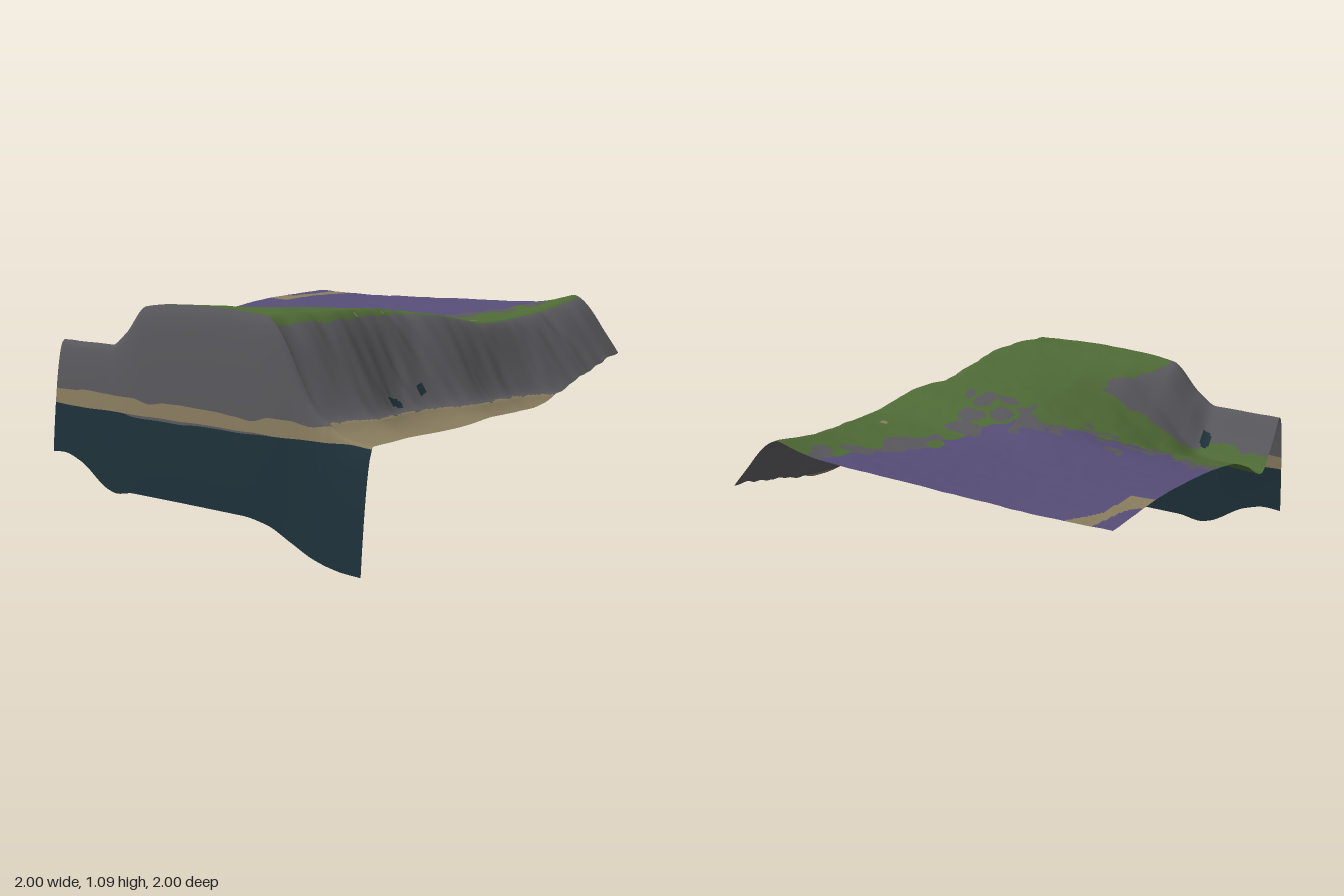
import * as THREE from 'three';

const mat = (name, color) => {
  const m = new THREE.MeshStandardMaterial({ color, side: THREE.DoubleSide });
  m.name = name;
  return m;
};

// Smooth, non-overshooting curve through (xs, ys)
function curve(xs, ys, x) {
  const n = xs.length;
  if (x <= xs[0]) return ys[0];
  if (x >= xs[n - 1]) return ys[n - 1];
  let i = 0;
  while (x > xs[i + 1]) i++;
  const slope = k => (ys[k + 1] - ys[k]) / (xs[k + 1] - xs[k]);
  const tangent = k => {
    if (k === 0) return slope(0);
    if (k === n - 1) return slope(n - 2);
    const a = slope(k - 1), b = slope(k);
    return a * b <= 0 ? 0 : 2 * a * b / (a + b);
  };
  const w = xs[i + 1] - xs[i], t = (x - xs[i]) / w, t2 = t * t, t3 = t2 * t;
  return (2 * t3 - 3 * t2 + 1) * ys[i] + (t3 - 2 * t2 + t) * w * tangent(i)
    + (3 * t2 - 2 * t3) * ys[i + 1] + (t3 - t2) * w * tangent(i + 1);
}

// Repeatable value noise in -1..1
function noise(x, z, seed) {
  const hash = (a, b) => {
    const s = Math.sin(a * 127.1 + b * 311.7 + seed * 74.7) * 43758.5453;
    return (s - Math.floor(s)) * 2 - 1;
  };
  const i = Math.floor(x), j = Math.floor(z);
  const ease = t => t * t * (3 - 2 * t);
  const u = ease(x - i), v = ease(z - j), mix = THREE.MathUtils.lerp;
  return mix(mix(hash(i, j), hash(i + 1, j), u), mix(hash(i, j + 1), hash(i + 1, j + 1), u), v);
}

// Heights of the land before the side cliff is cut away
const landX = [-1, -0.65, -0.55, -0.4, -0.2, 0, 0.3, 0.5, 0.74];
const landZ = [-1, -0.6, -0.3, 0, 0.3, 0.5, 0.7, 0.8, 0.9];
const landY = [
  [0.974, 0.97, 0.97, 0.975, 0.98, 0.988, 0.995, 1.003, 1.055],
  [0.96, 0.947, 0.945, 0.94, 0.94, 0.945, 0.955, 0.965, 0.988],
  [0.93, 0.92, 0.92, 0.92, 0.92, 0.93, 0.945, 0.958, 0.972],
  [0.885, 0.887, 0.89, 0.9, 0.93, 0.963, 1.0, 1.02, 1.03],
  [0.82, 0.81, 0.815, 0.85, 0.92, 0.993, 1.05, 1.065, 1.05],
  [0.735, 0.73, 0.75, 0.83, 0.94, 1.027, 1.073, 1.075, 1.05],
  [0.633, 0.665, 0.74, 0.885, 1.025, 1.067, 1.085, 1.075, 1.0],
  [0.72, 0.75, 0.85, 1.0, 1.065, 1.083, 1.088, 1.07, 1.0],
  [0.86, 0.86, 0.92, 1.063, 1.085, 1.09, 1.08, 1.06, 1.0],
];
const land = (x, z) => curve(landZ, landY.map(row => curve(landX, row, x)), z);

// Top and foot of the side cliff, as x along z
const topZ = [-1, -0.6, -0.3, 0, 0.22, 0.6, 0.9];
const topX = [0.73, 0.7, 0.68, 0.59, 0.47, 0.46, 0.36];
const footZ = [-1, -0.6, -0.45, -0.35, -0.19, 0.05, 0.3, 0.45, 0.67, 0.8, 0.91];
const footX = [1.18, 1.09, 1.0, 0.945, 0.912, 0.92, 0.83, 0.805, 0.835, 0.79, 0.75];
const cliffTop = z => curve(topZ, topX, z) + 0.01 * noise(z * 14, 3, 1);
const cliffFoot = z => curve(footZ, footX, z) + 0.008 * noise(z * 11, 7, 2);

function height(x, z) {
  const top = cliffTop(z), foot = cliffFoot(z);
  if (x <= top) return land(x, z) + 0.0015 * noise(x * 18, z * 18, 3);
  if (x >= foot) return 0.555 + 0.075 * Math.exp((foot - x) / 0.08);
  const t = (x - top) / (foot - top);
  const crag = 0.016 * noise(x * 9 + z * 6, z * 20, 4);
  return THREE.MathUtils.lerp(land(top, z), 0.63, t * t * (3 - 2 * t)) + Math.sin(Math.PI * t) * crag;
}

// Surface over a grid; colourOf picks a material slot for each cell
function sheet(name, nu, nv, point, materials, colourOf = () => 0) {
  const pos = [], faces = materials.map(() => []);
  for (let j = 0; j <= nv; j++)
    for (let i = 0; i <= nu; i++) pos.push(...point(i / nu, j / nv));
  for (let j = 0; j < nv; j++)
    for (let i = 0; i < nu; i++) {
      const a = j * (nu + 1) + i, c = a + 1, b = a + nu + 1, d = b + 1;
      const [x, , z] = point((i + 0.5) / nu, (j + 0.5) / nv);
      faces[colourOf(x, z)].push(a, b, c, c, b, d);
    }
  const g = new THREE.BufferGeometry();
  g.setAttribute('position', new THREE.Float32BufferAttribute(pos, 3));
  g.setIndex(faces.flat());
  let start = 0;
  faces.forEach((f, k) => { g.addGroup(start, f.length, k); start += f.length; });
  g.computeVertexNormals();
  const mesh = new THREE.Mesh(g, materials);
  mesh.name = name;
  return mesh;
}

const [GRASS, HEATH, ROCK, SAND, WATER] = [0, 1, 2, 3, 4];

// Small patches: x, z, radius in x, radius in z, colour
const patches = [
  [-0.655, 0.775, 0.03, 0.032, WATER], [0.748, 0.455, 0.023, 0.047, WATER], [0.745, 0.27, 0.017, 0.024, WATER],
  [0.575, -0.35, 0.02, 0.017, SAND], [0.51, 0.27, 0.006, 0.014, SAND], [0.51, 0.46, 0.006, 0.014, SAND],
  [-0.5, 0.04, 0.055, 0.045, ROCK], [-0.54, -0.01, 0.03, 0.035, ROCK], [-0.66, 0.41, 0.03, 0.03, ROCK],
  [0.1, 0.0, 0.07, 0.06, ROCK], [0.23, -0.08, 0.08, 0.05, ROCK], [0.24, 0.08, 0.05, 0.08, ROCK],
  [0.33, 0.08, 0.025, 0.05, ROCK], [0.14, 0.13, 0.08, 0.03, ROCK], [0.22, -0.2, 0.08, 0.06, ROCK],
  [0.57, -0.88, 0.06, 0.06, ROCK], [0.5, -0.74, 0.06, 0.04, ROCK], [0.38, -0.52, 0.06, 0.07, ROCK],
  [0.22, -0.44, 0.04, 0.05, GRASS],
];
const heathX = [-1, -0.8, -0.6, -0.4, -0.2, 0, 0.12, 0.2, 0.31, 0.42, 0.48, 0.52];
const heathZ = [0.08, 0.13, 0.26, 0.2, 0.1, -0.02, -0.16, -0.36, -0.55, -0.72, -0.9, -1.1];

function groundColour(x, z) {
  const rough = noise(x * 22, z * 22, 5);
  for (const [px, pz, rx, rz, colour] of patches)
    if (((x - px) / rx) ** 2 + ((z - pz) / rz) ** 2 < 1 + 0.5 * rough) return colour;
  // Side cliff below its grassy lip, and the beach at its foot
  const top = cliffTop(z), foot = cliffFoot(z);
  if (x > foot - 0.01 * (rough + 0.5)) return SAND;
  if (x > top + curve([-1, 0, 0.3, 0.9], [0.08, 0.08, 0.16, 0.2], z) * (foot - top)) return ROCK;
  // Path in the back corner
  const pathLeft = curve([-1, -0.75, -0.69], [-0.9, -0.95, -1.01], z);
  const pathRight = curve([-1, -0.8, -0.58], [-0.765, -0.87, -0.88], z);
  if (z < -0.575 && x > pathLeft && x < pathRight) return SAND;
  // Bare rock behind the front ridge and beside the plateau
  const rockBack = curve([-1, -0.68, -0.58, -0.4, -0.25, -0.16], [0.775, 0.77, 0.67, 0.61, 0.57, 0.57], x);
  const rockRight = curve([0.56, 0.64, 0.72, 0.8, 0.9], [-0.16, -0.17, -0.25, -0.33, -0.4], z);
  if (z > rockBack + 0.012 * rough && x < rockRight + 0.015 * rough) return ROCK;
  // Heath, fraying into bare ground and grass
  const edge = z - curve(heathX, heathZ, x) + 0.05 * noise(x * 16, z * 16, 6);
  const broad = noise(x * 11, z * 11, 8) + 0.4 * rough;
  if (x < 0.62 && edge > -0.1 && edge < (x > 0 ? 0.2 : 0.09) && broad > 0.12) return ROCK;
  return edge < 0 ? HEATH : GRASS;
}

export function createModel() {
  const grass = mat('grass green', 0x4f6a36);
  const heath = mat('heath purple', 0x564d77);
  const rock = mat('rock grey', 0x59585c);
  const sand = mat('sand', 0x897d5f);
  const water = mat('deep teal', 0x1e313a);
  const model = new THREE.Group();
  model.name = 'coastalTerrain';

  // Land surface up to the lip of the front cliff
  const lip = 0.915;
  model.add(sheet('landSurface', 200, 190, (u, v) => {
    const x = u * 2 - 1, z = -1 + v * (1 + lip);
    return [x, height(x, z), z];
  }, [grass, heath, rock, sand, water], groundColour));

  // Front cliff in strata, all lying on one curved face
  const top = x => height(x, lip);
  const bottom = x => curve([-1, -0.92, -0.8, -0.6, -0.54, -0.42, 0.3, 0.45, 0.6, 0.72, 0.82, 0.9, 1],
    [0.31, 0.315, 0.285, 0.17, 0.157, 0.173, 0.17, 0.15, 0.09, 0.04, 0.015, 0.004, 0], x);
  const sandTop = x => Math.min(top(x), 0.618 + 0.014 * noise(x * 9, 2, 9) - 0.01 * x);
  const sandFoot = x => Math.min(top(x), 0.55 + 0.004 * noise(x * 8, 5, 10));
  const veinFoot = x => sandFoot(x) - curve([-0.52, -0.42, -0.1, 0, 0.3, 0.5], [0, 0.012, 0.014, 0.01, 0.009, 0], x);
  const stratum = (name, material, from, to, rows) => model.add(sheet(name, 200, rows, (u, v) => {
    const x = u * 2 - 1, y = THREE.MathUtils.lerp(from(x), to(x), v);
    const drop = Math.max(0, (top(x) - y) / (top(x) - bottom(x)));
    return [x, y, lip + (1 - lip) * Math.sqrt(drop)];
  }, [material]));
  stratum('frontRockFace', rock, top, sandTop, 16);
  stratum('frontSandBand', sand, sandTop, sandFoot, 3);
  stratum('frontRockVein', rock, sandFoot, veinFoot, 1);
  stratum('frontUnderwaterFace', water, veinFoot, bottom, 12);

  return model;
}
